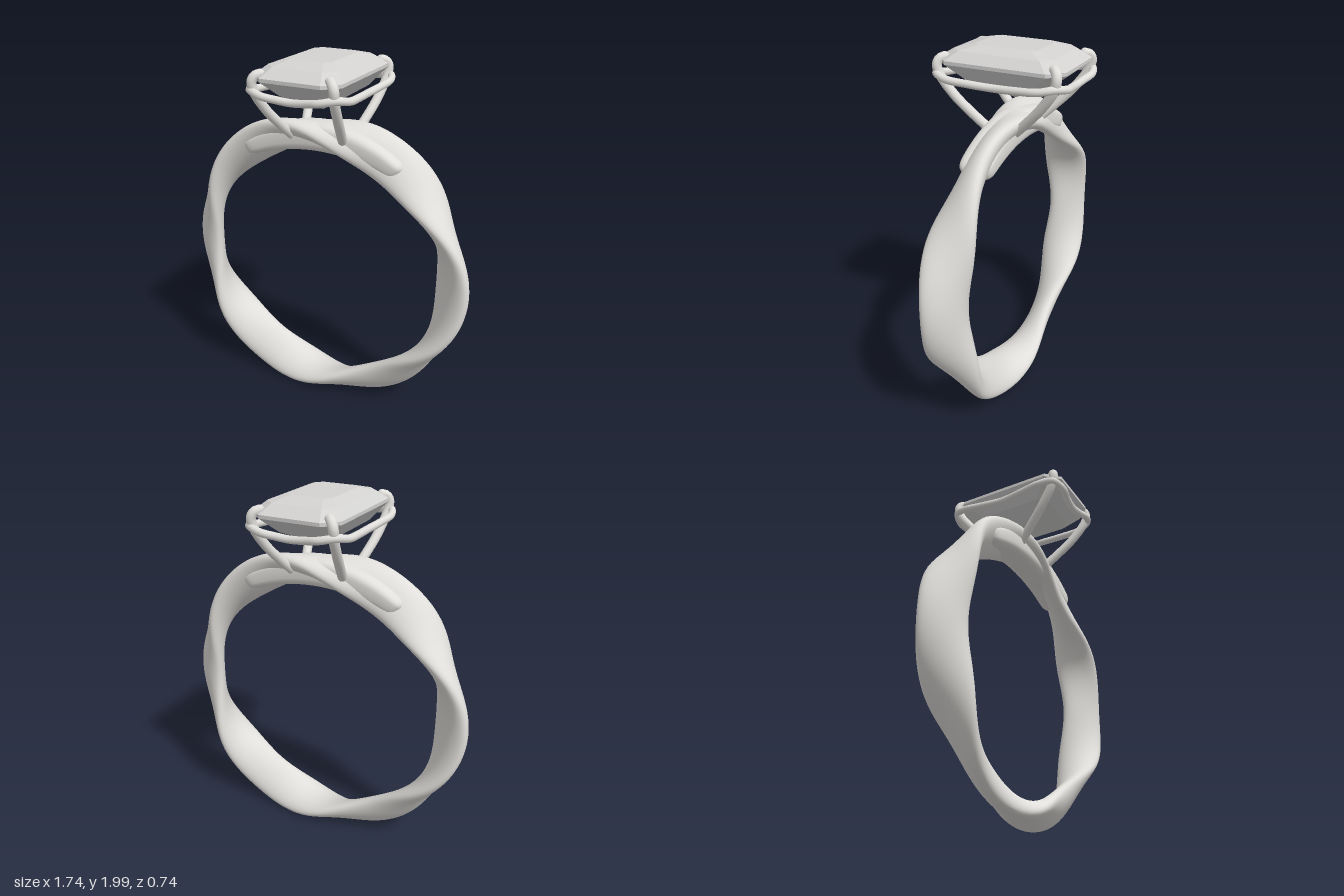
import * as THREE from 'three';

const metal = new THREE.MeshStandardMaterial({ color: 0xe0deda });
metal.name = 'polished metal';
const crystal = new THREE.MeshStandardMaterial({ color: 0xd3d2d1 });
crystal.name = 'grey crystal';

const CENTRE_Y = 0.835;
const TAU = Math.PI * 2;

function addMesh(parent, name, geometry, material) {
  const mesh = new THREE.Mesh(geometry, material);
  mesh.name = name;
  parent.add(mesh);
  return mesh;
}

// Skin over a grid of points; v always wraps, u wraps when closed
function skin(rows, cols, closed, point) {
  const positions = [], index = [];
  for (let i = 0; i < rows; i++)
    for (let j = 0; j < cols; j++) positions.push(...point(i, j));
  const last = closed ? rows : rows - 1;
  for (let i = 0; i < last; i++) {
    for (let j = 0; j < cols; j++) {
      const n = ((i + 1) % rows) * cols, k = (j + 1) % cols;
      const a = i * cols + j, b = n + j, c = n + k, d = i * cols + k;
      index.push(a, b, d, b, c, d);
    }
  }
  const geometry = new THREE.BufferGeometry();
  geometry.setAttribute('position', new THREE.Float32BufferAttribute(positions, 3));
  geometry.setIndex(index);
  geometry.computeVertexNormals();
  return geometry;
}

// Point on the ring from its angle, radius and depth
const polar = (t, r, z) => [r * Math.cos(t), CENTRE_Y + r * Math.sin(t), z];

// Oval section that rocks to and fro three times round the finger
function wavyBand() {
  const rows = 240, cols = 36, long = 0.125, short = 0.058;
  return skin(rows, cols, true, (i, j) => {
    const t = (i / rows) * TAU, v = (j / cols) * TAU;
    const tilt = Math.PI / 2 - 0.92 * Math.cos(3 * t);
    const p = long * Math.cos(v), q = short * Math.sin(v);
    return polar(t, 0.765 + p * Math.cos(tilt) - q * Math.sin(tilt),
      p * Math.sin(tilt) + q * Math.cos(tilt));
  });
}

// Short rounded bar that carries the setting
function bridgeBar() {
  const rows = 61, cols = 32, round = (x) => Math.sign(x) * Math.abs(x) ** 0.6;
  return skin(rows, cols, false, (i, j) => {
    const s = -Math.cos((i / (rows - 1)) * Math.PI), v = (j / cols) * TAU;
    const size = Math.max(0, 1 - Math.abs(s) ** 24) ** 0.5;
    const mid = 0.745 + 0.025 * s * s, half = 0.078 - 0.03 * s * s;
    return polar(Math.PI / 2 + s * 0.645, mid + half * size * round(Math.cos(v)),
      0.09 * size * round(Math.sin(v)));
  });
}

// Step-cut stone: stacked eight-sided outlines [half x, half z, corner cut, y]
function stone() {
  const layers = [
    [0, 0, 0, 2], [0.125, 0.175, 0.035, 2], [0.19, 0.275, 0.055, 1.975],
    [0.24, 0.348, 0.075, 1.93], [0.24, 0.348, 0.075, 1.912],
    [0.17, 0.235, 0.05, 1.825], [0, 0, 0, 1.72],
  ];
  const geometry = skin(layers.length, 8, false, (i, j) => {
    const [x, z, cut, y] = layers[i];
    const sx = j < 2 || j > 5 ? 1 : -1, sz = j < 4 ? -1 : 1;
    const onSide = j % 4 === 0 || j % 4 === 3;
    return [sx * (onSide ? x : x - cut), y, sz * (onSide ? z - cut : z)];
  }).toNonIndexed();
  geometry.computeVertexNormals();
  return geometry;
}

const curveThrough = (points, closed = false) =>
  new THREE.CatmullRomCurve3(points.map((p) => new THREE.Vector3(...p)), closed);

export function createModel() {
  const ring = new THREE.Group();
  ring.name = 'ring';
  addMesh(ring, 'wavyBand', wavyBand(), metal);
  addMesh(ring, 'bridgeBar', bridgeBar(), metal);

  const setting = new THREE.Group();
  setting.name = 'setting';
  ring.add(setting);
  addMesh(setting, 'stone', stone(), crystal);

  // Four prongs with rounded tips folded over the stone
  for (const sx of [1, -1]) {
    for (const sz of [1, -1]) {
      const path = [
        [0.15, 1.585, 0.075], [0.172, 1.65, 0.143], [0.2, 1.745, 0.235],
        [0.219, 1.85, 0.31], [0.223, 1.905, 0.325], [0.21, 1.932, 0.316], [0.19, 1.941, 0.297],
      ].map(([x, y, z]) => [sx * x, y, sz * z]);
      const prong = new THREE.Group();
      prong.name = 'prong';
      addMesh(prong, 'prongWire', new THREE.TubeGeometry(curveThrough(path), 40, 0.025, 14), metal);
      for (const end of [path[0], path[path.length - 1]])
        addMesh(prong, 'prongEnd', new THREE.SphereGeometry(0.025, 14, 10), metal).position.set(...end);
      setting.add(prong);
    }
  }

  // Wire gallery rail looping round the prongs, dipping on each side
  const quarter = [[0.25, 1.832, 0], [0.26, 1.838, 0.13], [0.266, 1.848, 0.25],
    [0.236, 1.862, 0.322], [0.16, 1.848, 0.352], [0.08, 1.835, 0.34]];
  const front = [...quarter, [0, 1.828, 0.333],
    ...quarter.slice(1).reverse().map(([x, y, z]) => [-x, y, z])];
  const loop = [...front, ...front.map(([x, y, z]) => [-x, y, -z])];
  addMesh(setting, 'galleryRail',
    new THREE.TubeGeometry(curveThrough(loop, true), 160, 0.02, 12, true), metal);

  return ring;
}
